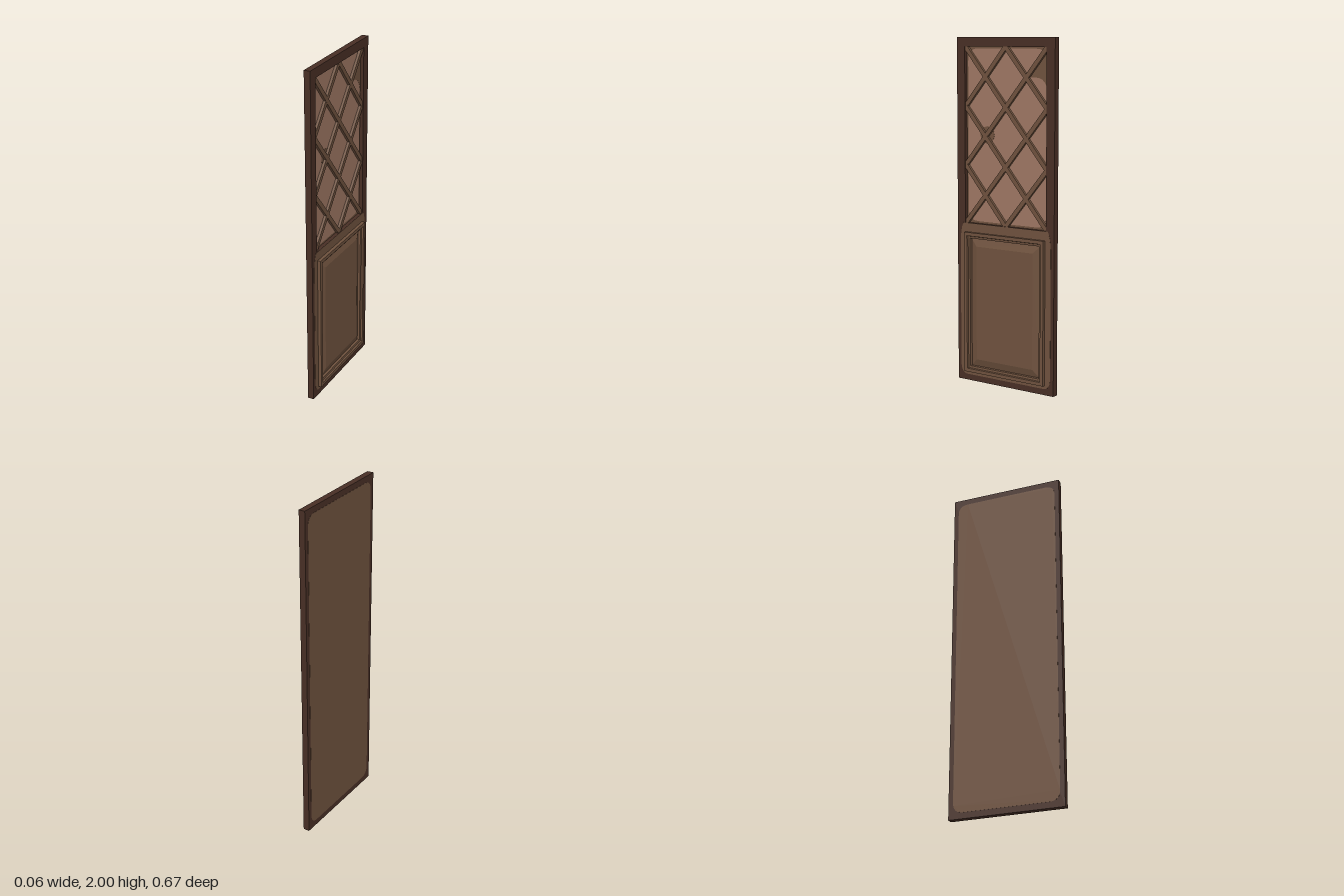
import * as THREE from 'three';

const mat = (name, color, side = THREE.FrontSide) => {
  const m = new THREE.MeshStandardMaterial({ color, side });
  m.name = name;
  return m;
};

// Rounded rectangle traced on a Shape or Path
function roundRect(p, x0, y0, x1, y1, r) {
  p.moveTo(x0 + r, y0).lineTo(x1 - r, y0).quadraticCurveTo(x1, y0, x1, y0 + r)
    .lineTo(x1, y1 - r).quadraticCurveTo(x1, y1, x1 - r, y1)
    .lineTo(x0 + r, y1).quadraticCurveTo(x0, y1, x0, y1 - r)
    .lineTo(x0, y0 + r).quadraticCurveTo(x0, y0, x0 + r, y0);
  return p;
}

function rect(p, x0, y0, x1, y1) {
  p.moveTo(x0, y0).lineTo(x1, y0).lineTo(x1, y1).lineTo(x0, y1).lineTo(x0, y0);
  return p;
}

// Shape extruded between two depths
function slab(shape, z0, z1) {
  return new THREE.ExtrudeGeometry(shape, { depth: z1 - z0, bevelEnabled: false, curveSegments: 6 })
    .translate(0, 0, z0);
}

// Nested rectangles, each given as [inset, depth], joined and capped
function steppedPanel(hw, y0, y1, steps) {
  const pos = [];
  const rings = steps.map(([i, z]) => [
    [-hw + i, y0 + i, z], [hw - i, y0 + i, z], [hw - i, y1 - i, z], [-hw + i, y1 - i, z],
  ]);
  const quad = (a, b, c, d) => pos.push(...a, ...b, ...c, ...a, ...c, ...d);
  for (let k = 0; k + 1 < rings.length; k++) {
    for (let j = 0; j < 4; j++) {
      const n = (j + 1) % 4;
      quad(rings[k][j], rings[k][n], rings[k + 1][n], rings[k + 1][j]);
    }
  }
  quad(...rings.at(-1));
  const g = new THREE.BufferGeometry();
  g.setAttribute('position', new THREE.Float32BufferAttribute(pos, 3));
  g.computeVertexNormals();
  return g;
}

export function createModel() {
  const dark = mat('dark wood', 0x482f25);
  const brown = mat('brown wood', 0x6f523e);
  const pane = mat('pale pane', 0x9e7763);

  const model = new THREE.Group();
  model.name = 'door';
  // Built facing +z, then turned to face +x
  const door = new THREE.Group();
  door.name = 'doorLeaf';
  door.rotation.y = Math.PI / 2;
  model.add(door);
  const add = (name, geo, material, parent = door) => {
    const m = new THREE.Mesh(geo, material);
    m.name = name;
    parent.add(m);
    return m;
  };

  const W = 0.335, win = 0.28, winB = 0.937, winT = 1.947, face = 0.008, floor = -0.014;

  // Solid back board and the front frame with its two openings
  add('backBoard', slab(rect(new THREE.Shape(), -W, 0, W, 2), -0.029, floor), dark);
  const frame = rect(new THREE.Shape(), -W, 0, W, 2);
  frame.holes.push(rect(new THREE.Path(), -win, winB, win, winT));
  frame.holes.push(rect(new THREE.Path(), -0.26, 0.07, 0.26, 0.87));
  add('frame', slab(frame, floor, face), dark);
  add('backPanel', slab(roundRect(new THREE.Shape(), -0.308, 0.035, 0.308, 1.965, 0.06), -0.03, -0.029), brown);

  // Lighter wood around the lower panel
  const surround = new THREE.Shape();
  surround.moveTo(-0.27, 0.035).lineTo(0.27, 0.035).quadraticCurveTo(0.312, 0.035, 0.314, 0.1)
    .lineTo(0.314, 0.82).quadraticCurveTo(0.312, 0.91, 0.292, winB)
    .lineTo(-0.292, winB).quadraticCurveTo(-0.312, 0.91, -0.314, 0.82)
    .lineTo(-0.314, 0.1).quadraticCurveTo(-0.312, 0.035, -0.27, 0.035);
  surround.holes.push(rect(new THREE.Path(), -0.26, 0.07, 0.26, 0.87));
  add('lowerSurround', slab(surround, face, face + 0.001), brown);

  // Moulding stepping down to a raised, bevelled field
  add('lowerPanel', steppedPanel(0.276, 0.055, 0.884, [
    [0, face], [0, 0.028], [0.02, 0.028], [0.023, 0.018], [0.035, 0.016],
    [0.037, 0.002], [0.08, 0.015],
  ]), brown);

  // Window backing with its pale pane
  add('windowBacking', slab(rect(new THREE.Shape(), -win, winB, win, winT), floor, floor + 0.001), brown);
  add('windowPane', slab(roundRect(new THREE.Shape(), -0.27, winB + 0.012, 0.27, winT - 0.01, 0.07),
    floor + 0.001, floor + 0.002), pane);

  // Worn patches on the pane
  const spot = new THREE.Shape().absarc(-0.135, 1.45, 0.05, 0, Math.PI * 2);
  add('paneSpot', slab(spot, floor + 0.002, floor + 0.003), brown);
  const corner = new THREE.Shape();
  corner.moveTo(0.28, 1.68).quadraticCurveTo(0.27, 1.78, 0.2, 1.78)
    .lineTo(0.15, 1.78).lineTo(0.25, 1.93).lineTo(0.28, 1.94);
  add('paneCorner', slab(corner, floor + 0.002, floor + 0.003), brown);

  // Diagonal lattice: four bars each way across a two by three grid
  const lattice = new THREE.Group();
  lattice.name = 'lattice';
  door.add(lattice);
  const cell = (winT - winB) / 3;
  const bars = [[0, 0, win, 1], [-win, 0, win, 2], [-win, 1, win, 3], [-win, 2, 0, 3]];
  for (const side of [1, -1]) {
    for (const [xa, ra, xb, rb] of bars) {
      const dx = (xb - xa) * side, dy = (rb - ra) * cell;
      const bar = add('latticeBar', new THREE.BoxGeometry(Math.hypot(dx, dy) + 0.02, 0.026, 0.017), brown, lattice);
      bar.position.set((xa + xb) / 2 * side, winB + (ra + rb) / 2 * cell, floor + 0.0085 + (side > 0 ? 0 : 0.0005));
      bar.rotation.z = Math.atan2(dy, dx);
    }
  }
  return model;
}
